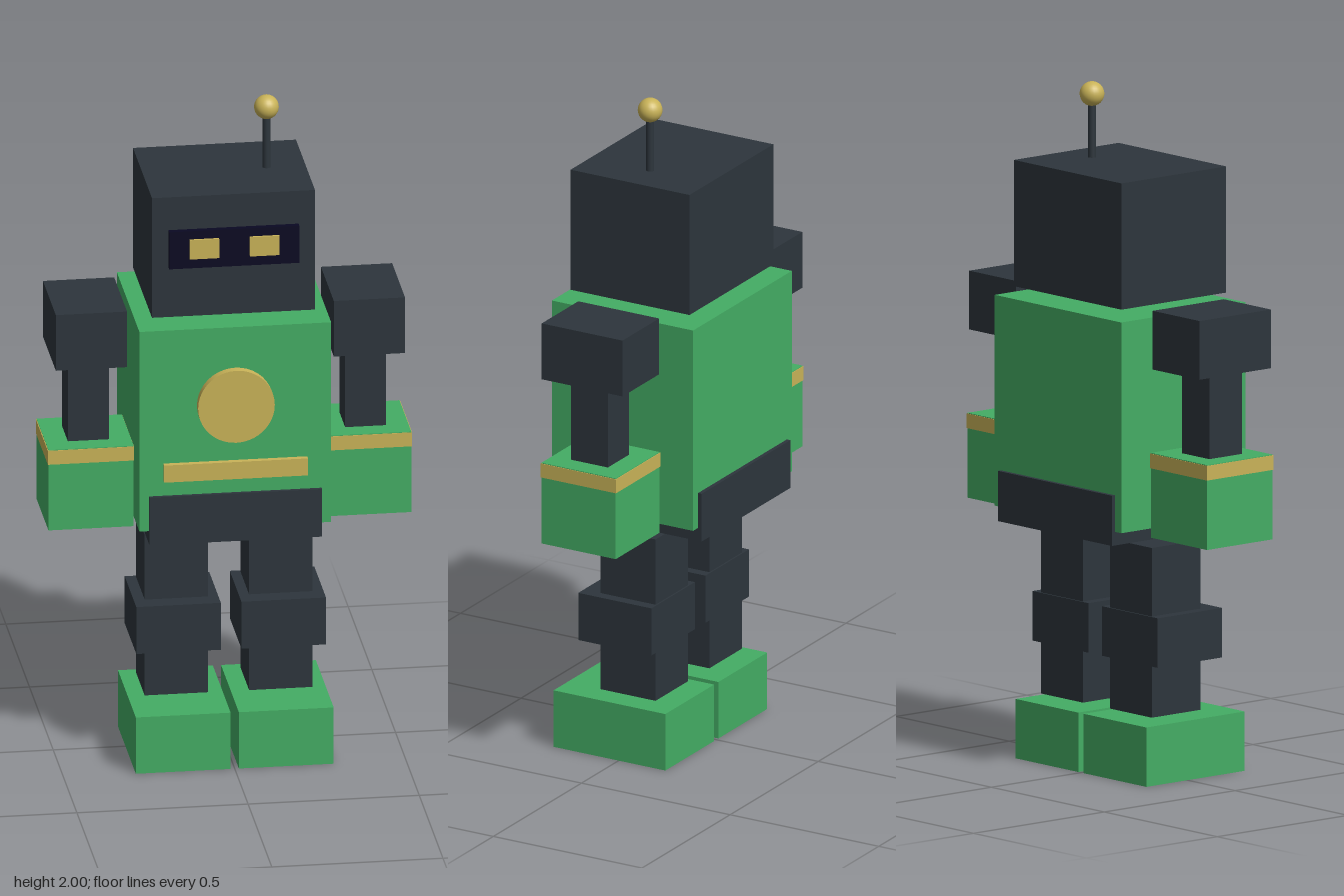
import * as THREE from 'three';

const mat = (name, color) => {
  const m = new THREE.MeshStandardMaterial({ color });
  m.name = name;
  return m;
};

export function createModel() {
  const green = mat('green', 0x44ad64);
  const dark = mat('charcoal', 0x2d353c);
  const gold = mat('gold', 0xc9b358);
  const navy = mat('visorNavy', 0x0a0822);

  const model = new THREE.Group();
  model.name = 'robot';

  const add = (parent, name, geometry, material, x, y, z) => {
    const mesh = new THREE.Mesh(geometry, material);
    mesh.name = name;
    mesh.position.set(x, y, z);
    parent.add(mesh);
    return mesh;
  };

  // box given by its limits along each axis
  const box = (parent, name, material, [x0, x1], [y0, y1], [z0, z1]) =>
    add(parent, name, new THREE.BoxGeometry(x1 - x0, y1 - y0, z1 - z0), material,
      (x0 + x1) / 2, (y0 + y1) / 2, (z0 + z1) / 2);

  const group = (name) => {
    const g = new THREE.Group();
    g.name = name;
    model.add(g);
    return g;
  };

  // head with visor, eyes and antenna
  const head = group('head');
  box(head, 'skull', dark, [-0.238, 0.238], [1.405, 1.777], [-0.208, 0.192]);
  box(head, 'visor', navy, [-0.19, 0.19], [1.56, 1.675], [0.18, 0.21]);
  for (const [side, x] of [['right', -0.088], ['left', 0.088]]) {
    box(head, side + 'Eye', gold, [x - 0.043, x + 0.043], [1.59, 1.65], [0.2, 0.217]);
  }
  add(head, 'antennaRod', new THREE.CylinderGeometry(0.012, 0.012, 0.2, 16), dark, 0.124, 1.86, -0.008);
  add(head, 'antennaBall', new THREE.SphereGeometry(0.036, 24, 16), gold, 0.124, 1.964, -0.008);

  // torso with chest dial, chest bar and hips
  const body = group('body');
  box(body, 'torso', green, [-0.28, 0.28], [0.757, 1.378], [-0.245, 0.23]);
  box(body, 'hips', dark, [-0.252, 0.252], [0.717, 0.865], [-0.257, 0.241]);
  add(body, 'chestDial', new THREE.CylinderGeometry(0.112, 0.112, 0.04, 40), gold, 0, 1.14, 0.235)
    .rotation.x = Math.PI / 2;
  box(body, 'chestBar', gold, [-0.21, 0.21], [0.912, 0.965], [0.21, 0.247]);

  // limbs, mirrored by swapping the sign of x
  for (const [side, s] of [['left', 1], ['right', -1]]) {
    const span = (a, b) => (s > 0 ? [a, b] : [-b, -a]);

    const arm = group(side + 'Arm');
    box(arm, 'shoulder', dark, span(0.302, 0.51), [1.23, 1.403], [-0.144, 0.128]);
    box(arm, 'upperArm', dark, span(0.345, 0.465), [0.97, 1.24], [-0.068, 0.056]);
    box(arm, 'hand', green, span(0.281, 0.53), [0.73, 0.98], [-0.133, 0.117]);
    box(arm, 'wristBand', gold, span(0.279, 0.532), [0.935, 0.978], [-0.135, 0.119]);

    const leg = group(side + 'Leg');
    box(leg, 'shin', dark, span(0.06, 0.245), [0.19, 0.69], [-0.098, 0.088]);
    box(leg, 'knee', dark, span(0.03, 0.277), [0.342, 0.488], [-0.103, 0.143]);
    box(leg, 'foot', green, span(0.012, 0.289), [0, 0.175], [-0.157, 0.219]);
  }

  return model;
}
